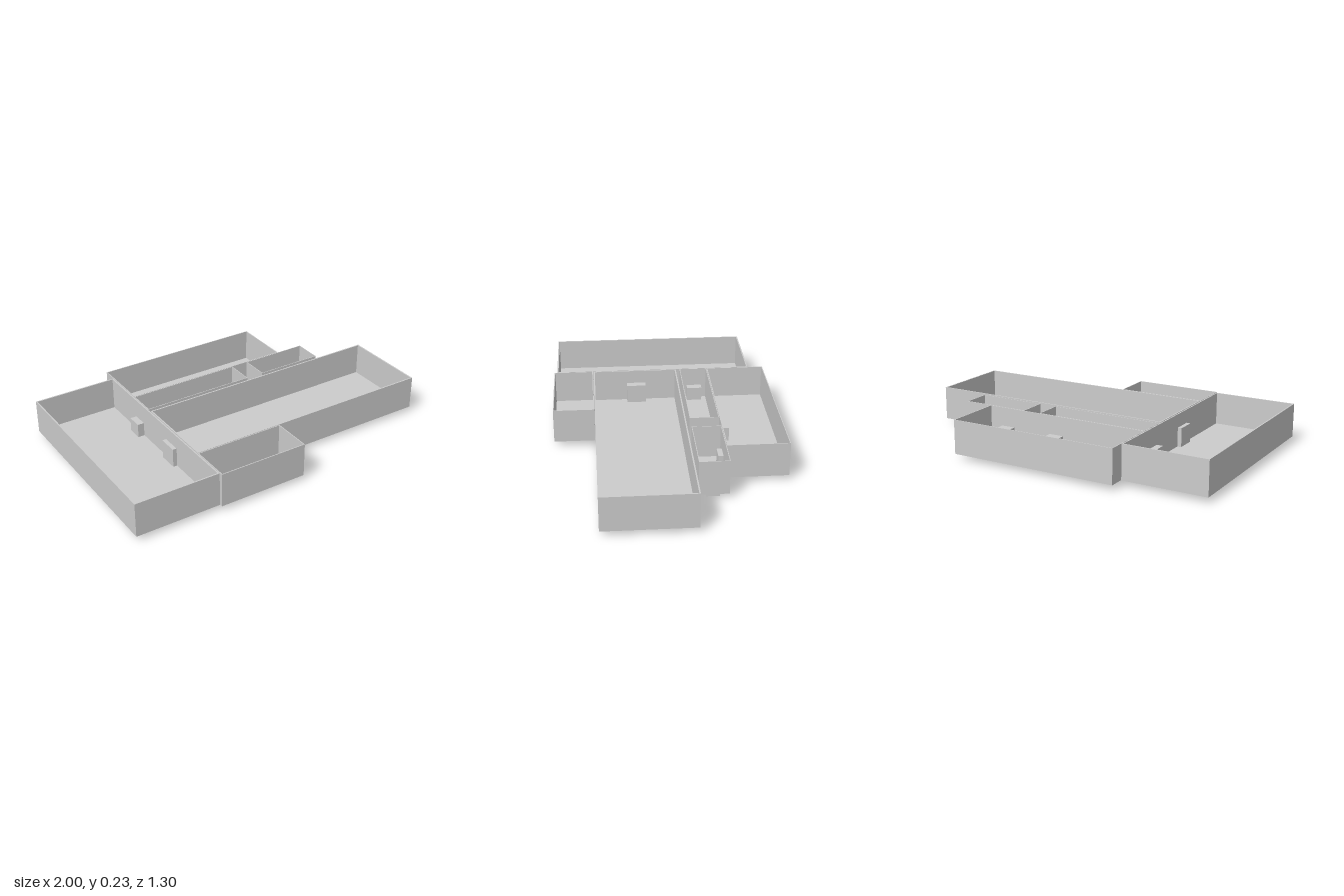
import * as THREE from 'three';

const BASE = 0.03, TOP = 0.23, FLOOR = 0.008;
const material = new THREE.MeshStandardMaterial({ color: 0xcccccc, flatShading: true });

// Closed rectangular outline, plan coordinates (x, -z)
function rect(Type, x0, x1, z0, z1) {
  const p = new Type();
  p.moveTo(x0, -z1);
  p.lineTo(x1, -z1);
  p.lineTo(x1, -z0);
  p.lineTo(x0, -z0);
  p.closePath();
  return p;
}

function box(name, x0, x1, y0, y1, z0, z1) {
  const mesh = new THREE.Mesh(new THREE.BoxGeometry(x1 - x0, y1 - y0, z1 - z0), material);
  mesh.position.set((x0 + x1) / 2, (y0 + y1) / 2, (z0 + z1) / 2);
  mesh.name = name;
  return mesh;
}

// Roofless room: a ring of walls around a thin floor slab
function room(name, x0, x1, z0, z1, t) {
  const group = new THREE.Group();
  group.name = name;
  const plan = rect(THREE.Shape, x0, x1, z0, z1);
  plan.holes.push(rect(THREE.Path, x0 + t, x1 - t, z0 + t, z1 - t));
  const geometry = new THREE.ExtrudeGeometry(plan, { depth: TOP - BASE, bevelEnabled: false });
  geometry.rotateX(-Math.PI / 2);
  const walls = new THREE.Mesh(geometry, material);
  walls.position.y = BASE;
  walls.name = name + 'Walls';
  group.add(walls, box(name + 'Floor', x0 + t, x1 - t, BASE, BASE + FLOOR, z0 + t, z1 - t));
  return group;
}

export function createModel() {
  const model = new THREE.Group();
  model.name = 'floorPlan';

  // Rooms: x range, z range, wall thickness
  [
    ['sideHall', -1, -0.503, -0.56, 0.63, 0.008],
    ['backRoom', -0.5, 0.513, -0.65, -0.3, 0.005],
    ['corridor', -0.5, 0.175, -0.298, -0.13, 0.004],
    ['smallRoom', 0.28, 0.683, -0.298, -0.13, 0.004],
    ['mainHall', -0.498, 1, -0.107, 0.406, 0.008],
    ['frontRoom', -0.5, 0.028, 0.409, 0.647, 0.005],
  ].forEach((r) => model.add(room(...r)));

  // Door blocks passing through the shared walls
  [
    ['corridorDoor', -0.55, -0.45, BASE, 0.12, -0.265, -0.175],
    ['backRoomDoor', 0.015, 0.103, BASE, 0.12, -0.367, -0.265],
    ['smallRoomDoor', 0.347, 0.432, BASE, 0.12, -0.367, -0.265],
    ['mainHallDoor', -0.535, -0.445, BASE, 0.15, 0.085, 0.2],
    // Hatch dropping below the small room's floor
    ['floorHatch', 0.588, 0.653, 0, 0.06, -0.25, -0.175],
  ].forEach((d) => model.add(box(...d)));

  return model;
}
